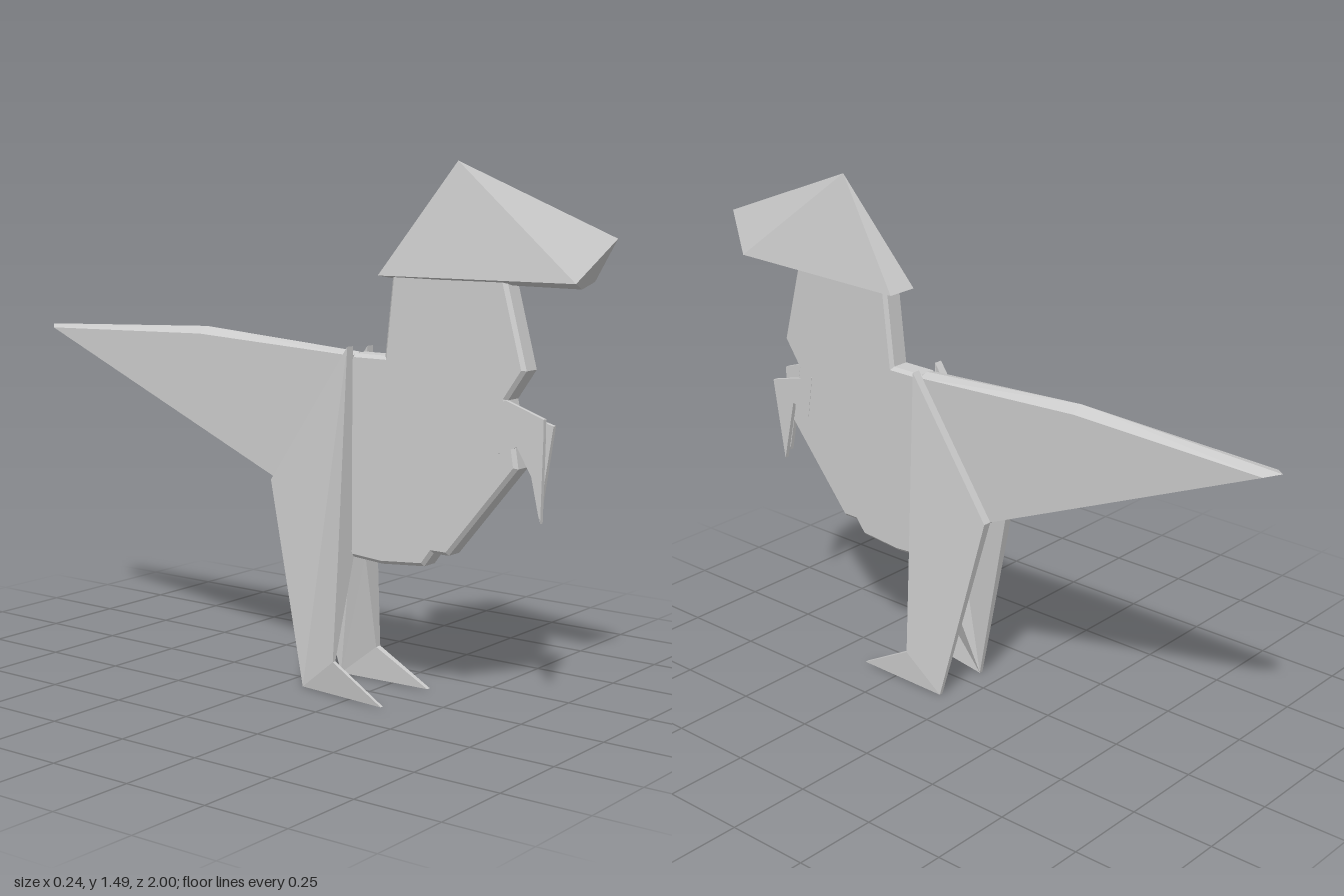
import * as THREE from 'three';
import { ConvexGeometry } from 'three/addons/geometries/ConvexGeometry.js';

const material = new THREE.MeshStandardMaterial({ color: 0xcccccc, flatShading: true, side: THREE.DoubleSide });

function addMesh(group, name, geometry) {
  const mesh = new THREE.Mesh(geometry, material);
  mesh.name = name;
  group.add(mesh);
}

// Folded panel: each point is [z, y, xLow, xHigh], listed counter-clockwise seen from +x.
function foldedPanel(points) {
  const outline = points.map(([z, y]) => new THREE.Vector2(-z, y));
  const low = points.map(([z, y, x]) => [x, y, z]);
  const high = points.map(([z, y, , x]) => [x, y, z]);
  const positions = [];
  const tri = (a, b, c) => positions.push(...a, ...b, ...c);
  for (const [a, b0, c0] of THREE.ShapeUtils.triangulateShape(outline, [])) {
    const flipped = THREE.ShapeUtils.area([outline[a], outline[b0], outline[c0]]) < 0;
    const [b, c] = flipped ? [c0, b0] : [b0, c0];
    tri(high[a], high[b], high[c]);
    tri(low[a], low[c], low[b]);
  }
  points.forEach((_, i) => {
    const j = (i + 1) % points.length;
    tri(high[i], low[i], low[j]);
    tri(high[i], low[j], high[j]);
  });
  const geometry = new THREE.BufferGeometry();
  geometry.setAttribute('position', new THREE.Float32BufferAttribute(positions, 3));
  geometry.computeVertexNormals();
  return geometry;
}

// Convex fold with a centre ridge and paired side corners; points are [z, y].
function ridgedFold(ridge, sides, centre, halfWidth) {
  const points = ridge.map(([z, y]) => new THREE.Vector3(centre, y, z));
  for (const [z, y] of sides)
    for (const s of [-1, 1]) points.push(new THREE.Vector3(centre + s * halfWidth, y, z));
  return new ConvexGeometry(points);
}

export function createModel() {
  const model = new THREE.Group();
  model.name = 'foldedPaperDinosaur';

  // Body and neck: flat plate with a narrow creased edge
  const outline = [
    [-0.07, 0.58], [0.2, 0.385], [0.3, 0.378], [0.44, 0.39], [0.47, 0.43], [0.52, 0.43],
    [0.735, 0.69], [0.725, 0.75], [0.7, 0.87], [0.755, 0.95], [0.69, 1.19],
    [0.33, 1.19], [0.305, 0.96], [0.2, 0.96],
  ];
  const body = new THREE.ExtrudeGeometry(
    new THREE.Shape(outline.map(([z, y]) => new THREE.Vector2(-z, y))),
    { depth: 0.05, bevelSize: 0.01, bevelOffset: -0.01, bevelThickness: 0.01, bevelSegments: 1 },
  );
  body.rotateY(Math.PI / 2).translate(-0.01, 0, 0);
  addMesh(model, 'body', body);

  // Head: ridged hood with a pointed nose and a shallow keel below
  addMesh(model, 'head', ridgedFold(
    [[1, 1.3], [0.52, 1.49], [0.9, 1.168], [0.32, 1.17]],
    [[0.91, 1.185], [0.295, 1.18]], 0.013, 0.048));

  // Tail: long wedge with a raised ridge
  addMesh(model, 'tail', ridgedFold(
    [[0.2, 0.962], [-0.36, 1.0], [-1, 0.97]],
    [[0.2, 0.953], [-0.36, 0.98], [-0.965, 0.962], [-0.07, 0.58]], 0.015, 0.035));

  // Arms: a thin pointed flap on each side of the chest
  addMesh(model, 'leftArm', foldedPanel([
    [0.64, 0.85], [0.81, 0.805], [0.77, 0.555], [0.725, 0.75], [0.66, 0.72],
  ].map(p => [...p, 0.038, 0.051])));
  addMesh(model, 'rightArm', foldedPanel([
    [0.64, 0.85], [0.7, 0.87], [0.815, 0.83], [0.815, 0.78], [0.81, 0.555], [0.785, 0.67], [0.735, 0.75], [0.66, 0.72],
  ].map(p => [...p, -0.021, -0.008])));

  // Legs: wedges that splay from the hip and close at the ankle
  addMesh(model, 'leftLeg', foldedPanel([
    [0.2, 0.975, 0.049, 0.075], [0.2, 0.38, 0.045, 0.105], [0.2, 0.1, 0.1, 0.12],
    [0.375, 0.005, 0.105, 0.118], [0.07, 0, 0.105, 0.116], [-0.07, 0.58, 0.05, 0.076],
  ]));
  addMesh(model, 'rightLeg', foldedPanel([
    [0.2, 0.98, -0.045, -0.019], [0.2, 0.38, -0.085, -0.012], [0.2, 0.1, -0.107, -0.095],
    [0.375, 0.005, -0.12, -0.11], [0.07, 0, -0.077, -0.065], [-0.07, 0.58, -0.046, -0.02],
  ]));

  return model;
}
